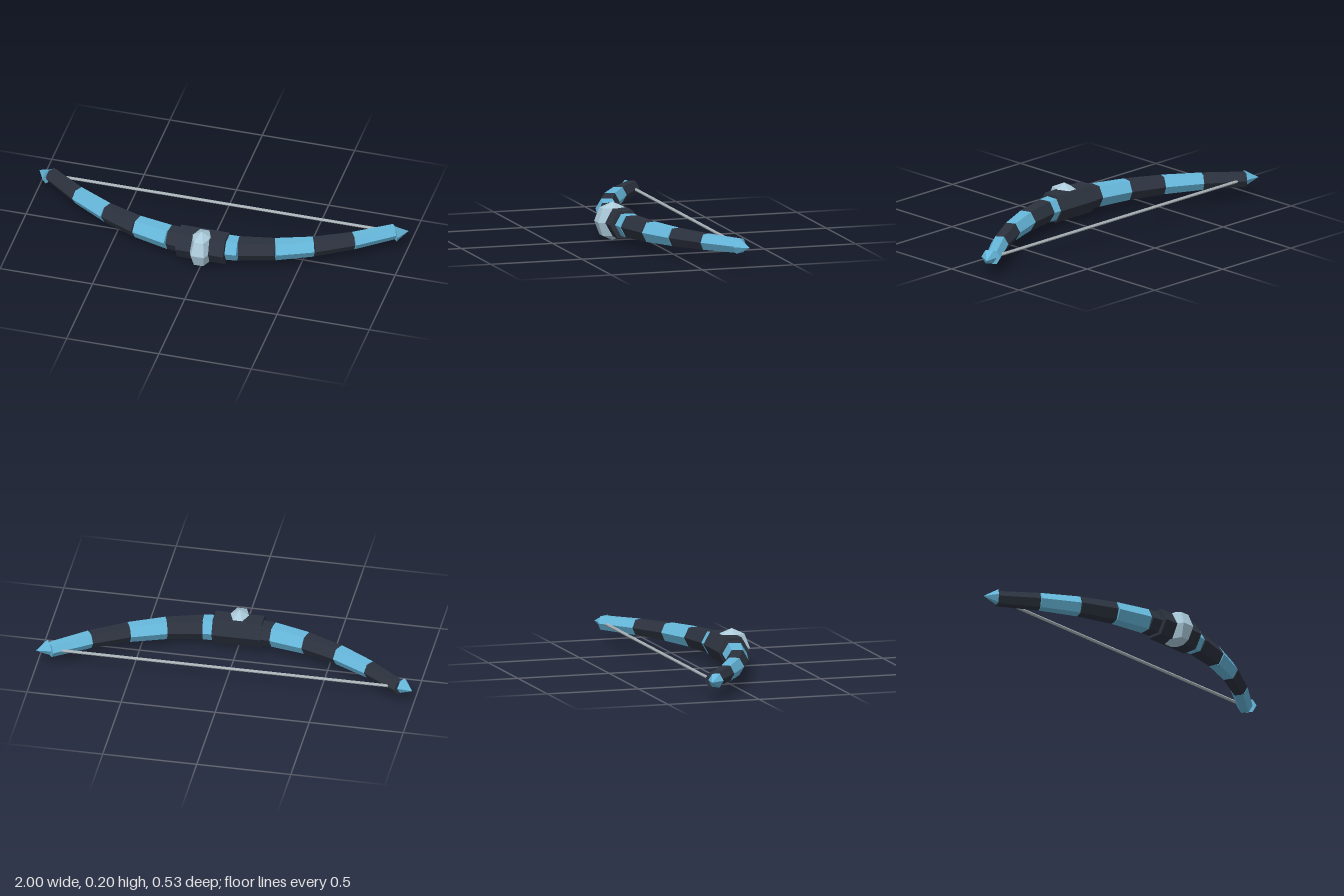
import * as THREE from 'three';

const Y = 0.102; // height of the bow's plane

export function createModel() {
  const model = new THREE.Group();
  model.name = 'bow';

  const material = (name, color) => {
    const m = new THREE.MeshStandardMaterial({ color, flatShading: true });
    m.name = name;
    return m;
  };
  const blue = material('blue', 0x66b8dc);
  const dark = material('dark slate', 0x2c323e);
  const crystal = material('pale crystal', 0xaccbdb);
  const cord = material('grey cord', 0xaab4b8);

  // Hexagonal bar from a to b, with one ridge facing outward in the bow's plane
  const hexBar = (name, a, b, ra, rb, mat) => {
    const dir = b.clone().sub(a);
    const length = dir.length();
    dir.normalize();
    const out = new THREE.Vector3(-dir.z, 0, dir.x);
    const side = dir.clone().cross(out);
    const mesh = new THREE.Mesh(new THREE.CylinderGeometry(rb, ra, length, 6), mat);
    mesh.name = name;
    mesh.quaternion.setFromRotationMatrix(new THREE.Matrix4().makeBasis(side, dir, out));
    mesh.position.copy(a).add(b).multiplyScalar(0.5);
    model.add(mesh);
    return mesh;
  };

  // Limbs: ten straight tapered pieces along a parabola, in alternating colours
  const point = (i) => {
    const x = i * 0.186;
    return new THREE.Vector3(x, Y, 0.143 - 0.438 * x * x);
  };
  const radius = (i) => 0.071 - 0.0061 * Math.abs(i);
  for (let i = -5; i < 5; i++) {
    hexBar('limbSegment' + (i + 6), point(i), point(i + 1), radius(i), radius(i + 1),
      (i + 5) % 2 === 0 ? dark : blue);
  }

  // Pointed tips
  for (const s of [-1, 1]) {
    hexBar(s > 0 ? 'leftTip' : 'rightTip',
      new THREE.Vector3(s * 0.938, Y, -0.217), new THREE.Vector3(s, Y, -0.259), 0.042, 0, blue);
  }

  // Grip around the middle
  hexBar('grip', new THREE.Vector3(-0.13, Y, 0.143), new THREE.Vector3(0.13, Y, 0.143), 0.084, 0.084, dark);

  // Faceted gem set into the front of the grip
  const gem = new THREE.Mesh(new THREE.SphereGeometry(0.102, 6, 4), crystal);
  gem.name = 'gem';
  gem.scale.x = 0.7;
  gem.position.set(0, Y, 0.172);
  model.add(gem);

  // Bowstring
  hexBar('bowstring', new THREE.Vector3(-0.93, Y, -0.233), new THREE.Vector3(0.93, Y, -0.233), 0.008, 0.008, cord);

  return model;
}
